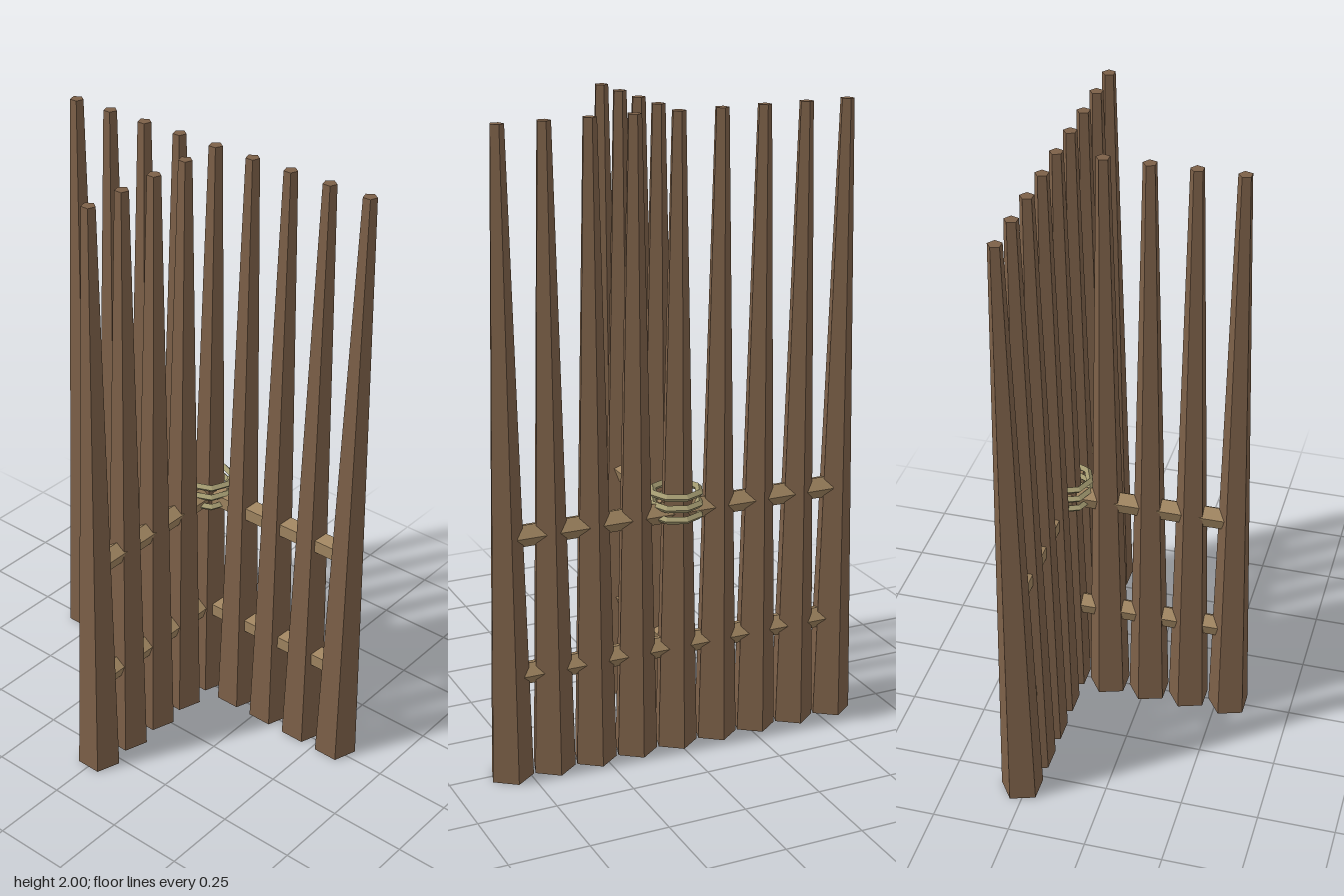
import * as THREE from 'three';

export function createModel() {
  const model = new THREE.Group();
  model.name = 'palisadeJunction';

  const flat = (name, color) => {
    const m = new THREE.MeshStandardMaterial({ color, flatShading: true });
    m.name = name;
    return m;
  };
  const postWood = flat('dark post wood', 0x7c6048);
  const railWood = flat('light rail wood', 0x9e835f);
  const rope = flat('rope', 0xa39a70);

  const add = (name, geometry, material, x, y, z) => {
    const mesh = new THREE.Mesh(geometry, material);
    mesh.name = name;
    mesh.position.set(x, y, z);
    model.add(mesh);
  };

  const spacing = 0.139;
  const backZ = -0.265;

  // Tapered five-sided posts, with one corner toward the back
  const post = new THREE.CylinderGeometry(0.022, 0.07, 2, 5).rotateY(Math.PI);
  for (let i = -4; i <= 4; i++) add('backPost', post, postWood, i * spacing, 1, backZ);
  for (let i = 1; i <= 4; i++) add('branchPost', post, postWood, 0, 1, backZ + i * spacing);

  // Two rails through each row, ending inside the last posts
  const rail = (length) => new THREE.CylinderGeometry(0.036, 0.036, length, 5).rotateY(Math.PI);
  const backRail = rail(8 * spacing - 0.05).rotateZ(Math.PI / 2);
  const branchRail = rail(4 * spacing - 0.02).rotateX(Math.PI / 2);
  for (const y of [0.335, 0.78]) {
    add('backRail', backRail, railWood, 0, y, backZ);
    add('branchRail', branchRail, railWood, 0, y, backZ + 2 * spacing - 0.01);
  }

  // Three rope loops around the shared post
  const loop = new THREE.TorusGeometry(0.076, 0.012, 4, 8).rotateX(Math.PI / 2);
  for (let i = 0; i < 3; i++) add('ropeLoop', loop, rope, 0, 0.77 + i * 0.036, backZ + 0.004);

  return model;
}
